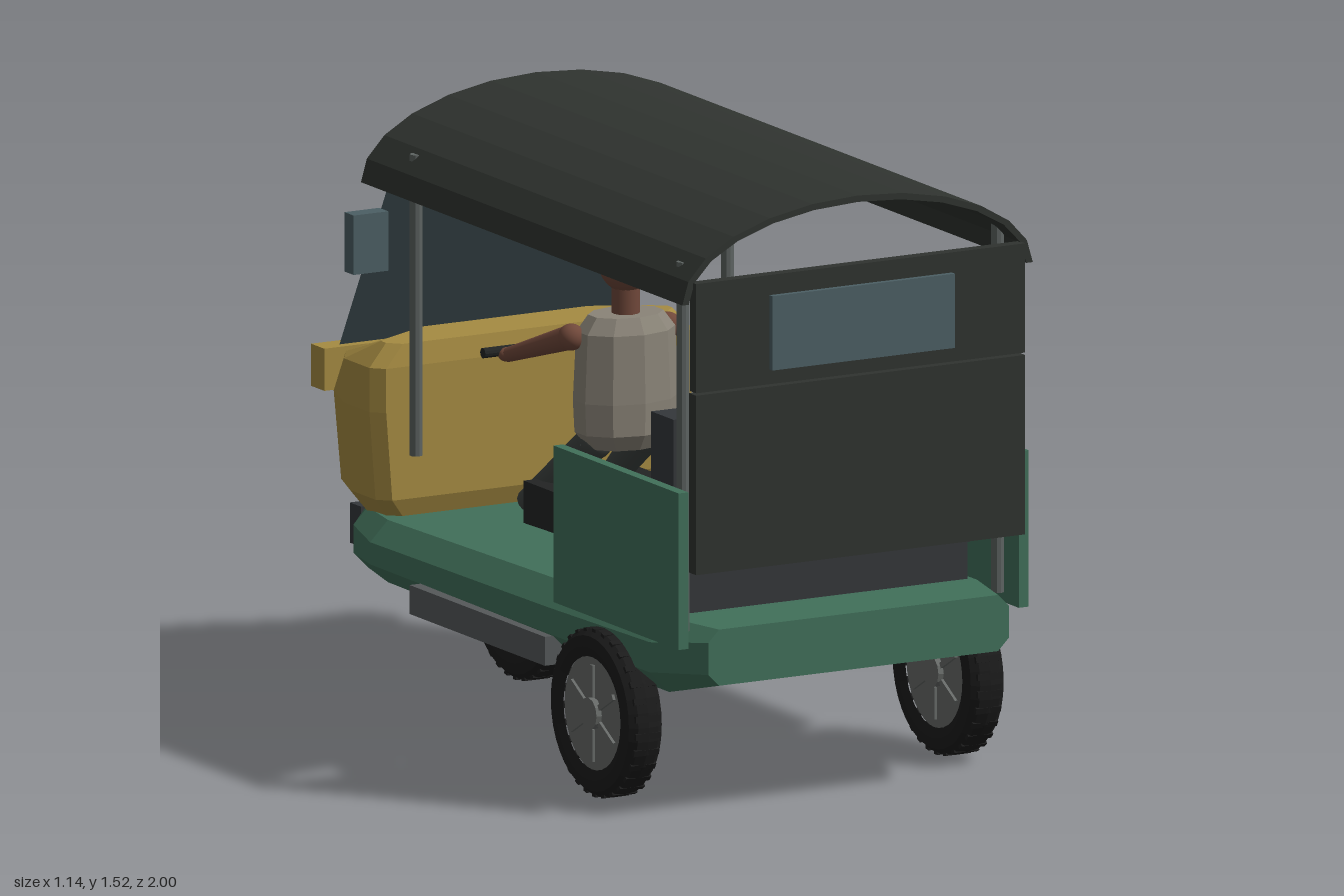
import * as THREE from 'three';

const mat = (color, flat = true, side = THREE.FrontSide) =>
  new THREE.MeshStandardMaterial({ color, flatShading: flat, side });
const M = {
  green: mat(0x41705a), yellow: mat(0xa58b42), canvas: mat(0x2f332f, true, THREE.DoubleSide),
  seat: mat(0x34373a), glass: mat(0x4c5f64, true, THREE.DoubleSide), steel: mat(0x5d6361),
  step: mat(0x55595a), tyre: mat(0x1b1b1b), rim: mat(0x676a68), lamp: mat(0x9a9580),
  shirt: mat(0x8a8478), trousers: mat(0x3d4240, false), skin: mat(0x70483a, false),
  hair: mat(0x151515, false), black: mat(0x222424),
};

function add(parent, name, geometry, material, x = 0, y = 0, z = 0) {
  const m = new THREE.Mesh(geometry, material);
  m.name = name;
  m.position.set(x, y, z);
  parent.add(m);
  return m;
}

// Box given by its min and max on each axis
function box(parent, name, material, [x0, x1], [y0, y1], [z0, z1]) {
  return add(parent, name, new THREE.BoxGeometry(x1 - x0, y1 - y0, z1 - z0), material,
    (x0 + x1) / 2, (y0 + y1) / 2, (z0 + z1) / 2);
}

// Tapered round bar between two points
function limb(parent, name, material, a, b, ra, rb, sides = 12) {
  const A = new THREE.Vector3(...a), B = new THREE.Vector3(...b), d = B.clone().sub(A);
  const m = add(parent, name, new THREE.CylinderGeometry(rb, ra, d.length(), sides), material);
  m.position.copy(A).addScaledVector(d, 0.5);
  m.quaternion.setFromUnitVectors(new THREE.Vector3(0, 1, 0), d.normalize());
  return m;
}

// Skin over equal-length rings, capped at both ends
function loft(rings) {
  const n = rings[0].length, index = [];
  rings.forEach((r, i) => {
    if (i === rings.length - 1) return;
    for (let j = 0; j < n; j++) {
      const k = (j + 1) % n, a = i * n + j, b = i * n + k;
      index.push(a, b, b + n, a, b + n, a + n);
    }
  });
  const last = (rings.length - 1) * n;
  for (let j = 1; j < n - 1; j++) {
    index.push(0, j + 1, j, last, last + j, last + j + 1);
  }
  const g = new THREE.BufferGeometry();
  g.setAttribute('position', new THREE.Float32BufferAttribute(rings.flat(2), 3));
  g.setIndex(index);
  g.computeVertexNormals();
  return g;
}

function wheel(parent, name, x, z) {
  const g = new THREE.Group();
  g.name = name;
  g.position.set(x, 0.213, z);
  parent.add(g);
  const profile = [[0.14, -0.04], [0.165, -0.05], [0.192, -0.046], [0.207, -0.028], [0.21, 0],
    [0.207, 0.028], [0.192, 0.046], [0.165, 0.05], [0.14, 0.04]].map(p => new THREE.Vector2(...p));
  add(g, 'tyre', new THREE.LatheGeometry(profile, 36), M.tyre).rotation.z = Math.PI / 2;
  for (let i = 0; i < 30; i++) {
    const a = i * Math.PI / 15;
    const t = add(g, 'tread', new THREE.BoxGeometry(0.07, 0.012, 0.016), M.tyre,
      0, 0.203 * Math.cos(a), 0.203 * Math.sin(a));
    t.rotation.x = a;
  }
  add(g, 'rim', new THREE.CylinderGeometry(0.143, 0.143, 0.07, 32), M.rim).rotation.z = Math.PI / 2;
  add(g, 'hub', new THREE.CylinderGeometry(0.04, 0.04, 0.1, 12), M.rim).rotation.z = Math.PI / 2;
  for (let i = 0; i < 6; i++) {
    const a = i * Math.PI / 3;
    const s = add(g, 'spoke', new THREE.BoxGeometry(0.085, 0.08, 0.014), M.rim,
      0, 0.08 * Math.cos(a), 0.08 * Math.sin(a));
    s.rotation.x = a;
  }
}

// Chamfered hull section at z
function hullRing([z, w, bottom, top, c]) {
  const half = [[w - c, bottom], [w, bottom + c], [w, top - c], [w - c, top]];
  return [...half.map(([x, y]) => [x, y, z]), ...half.reverse().map(([x, y]) => [-x, y, z])];
}

// Cowl plan outline at height y
function cowlRing([y, w, front, back]) {
  const half = [[w - 0.03, back], [w, back - 0.03], [w, Math.max(-0.76, front + 0.09)],
    [w * 0.9, front + 0.065], [w * 0.58, front]];
  return [...half.map(([x, z]) => [x, y, z]), ...half.reverse().map(([x, z]) => [-x, y, z])];
}

function driver(parent) {
  const g = new THREE.Group();
  g.name = 'driver';
  parent.add(g);
  const profile = [[0, 0.68], [0.07, 0.68], [0.095, 0.72], [0.098, 0.8], [0.092, 0.97], [0.07, 1.01], [0, 1.01]]
    .map(p => new THREE.Vector2(...p));
  const torso = add(g, 'torso', new THREE.LatheGeometry(profile, 10), M.shirt, 0, 0, -0.17);
  torso.scale.x = 1.4;
  limb(g, 'neck', M.skin, [0, 1, -0.17], [0, 1.09, -0.17], 0.035, 0.035);
  const ball = (name, m, r, pos, s) => {
    const b = add(g, name, new THREE.SphereGeometry(r, 20, 14), m, ...pos);
    b.scale.set(...s);
    return b;
  };
  ball('head', M.skin, 0.1, [0, 1.16, -0.17], [0.74, 1, 0.75]);
  ball('nose', M.skin, 0.016, [0, 1.145, -0.248], [0.9, 1, 1]);
  const hair = add(g, 'hair', new THREE.SphereGeometry(0.082, 20, 10, 0, Math.PI * 2, 0, Math.PI * 0.5),
    M.hair, 0, 1.195, -0.163);
  hair.rotation.x = 0.3;
  for (const s of [-1, 1]) {
    ball('ear', M.skin, 0.022, [s * 0.075, 1.15, -0.17], [0.4, 1, 0.7]);
    ball('eye', M.hair, 0.009, [s * 0.028, 1.175, -0.238], [1, 1, 0.6]);
    ball('shoulder', M.skin, 0.033, [s * 0.135, 0.957, -0.2], [1, 1, 1]);
    limb(g, 'arm', M.skin, [s * 0.135, 0.957, -0.2], [s * 0.17, 0.868, -0.45], 0.031, 0.018);
    ball('hand', M.skin, 0.022, [s * 0.17, 0.868, -0.455], [1, 0.8, 1]);
    ball('hip', M.trousers, 0.045, [s * 0.07, 0.69, -0.2], [1, 1, 1]);
    limb(g, 'leg', M.trousers, [s * 0.07, 0.69, -0.2], [s * 0.1, 0.49, -0.475], 0.045, 0.03);
  }
}

export function createModel() {
  const car = new THREE.Group();
  car.name = 'threeWheeler';

  // Floor hull, nose towards -z
  add(car, 'hull', loft([[-0.91, 0.31, 0.32, 0.43, 0.02], [-0.77, 0.42, 0.3, 0.45, 0.04],
    [-0.6, 0.47, 0.3, 0.455, 0.05], [0.3, 0.485, 0.3, 0.475, 0.055],
    [0.8, 0.485, 0.3, 0.485, 0.055], [0.975, 0.42, 0.345, 0.485, 0.03]].map(hullRing)), M.green);

  // Cowl, trim bar, headlight and bumper
  add(car, 'cowl', loft([[0.435, 0.38, -0.87, -0.63], [0.5, 0.435, -0.945, -0.605],
    [0.72, 0.452, -0.955, -0.605], [0.83, 0.452, -0.895, -0.605], [0.885, 0.4, -0.76, -0.615]]
    .map(cowlRing)), M.yellow);
  box(car, 'cowlBar', M.yellow, [-0.43, 0.43], [0.72, 0.825], [-0.96, -0.895]);
  add(car, 'headlight', new THREE.CylinderGeometry(0.103, 0.103, 0.06, 24), M.lamp, 0, 0.653, -0.97)
    .rotation.x = Math.PI / 2;
  box(car, 'bumper', M.seat, [-0.305, 0.305], [0.31, 0.41], [-0.99, -0.935]);

  // Sloping windscreen
  const screen = new THREE.PlaneGeometry(1, 1);
  screen.getAttribute('position').array.set([-0.415, 1.3, -0.6, 0.415, 1.3, -0.6,
    -0.385, 0.83, -0.9, 0.385, 0.83, -0.9]);
  screen.computeVertexNormals();
  add(car, 'windscreen', screen, M.glass);

  // Curved canopy
  const arc = (rx, ry) => Array.from({ length: 13 }, (_, i) =>
    new THREE.Vector2(rx * Math.cos(i * Math.PI / 12), ry * Math.sin(i * Math.PI / 12)));
  const roof = new THREE.Shape([...arc(0.49, 0.22), ...arc(0.472, 0.204).reverse()]);
  add(car, 'canopy', new THREE.ExtrudeGeometry(roof, { depth: 1.58, bevelEnabled: false }),
    M.canvas, 0, 1.302, -0.61);

  // Rear curtain and window
  box(car, 'rearCurtain', M.canvas, [-0.46, 0.46], [0.63, 1.077], [0.95, 0.985]);
  box(car, 'rearUpperPanel', M.canvas, [-0.46, 0.46], [1.083, 1.355], [0.955, 0.985]);
  box(car, 'rearWindow', M.glass, [-0.255, 0.255], [1.12, 1.305], [0.97, 1]);

  // Seats
  box(car, 'benchSeat', M.seat, [-0.415, 0.415], [0.45, 0.6], [0.21, 0.78]);
  box(car, 'benchBack', M.seat, [-0.415, 0.415], [0.58, 0.975], [0.685, 0.795]);
  box(car, 'driverSeat', M.black, [-0.16, 0.16], [0.46, 0.565], [-0.39, -0.07]);
  limb(car, 'handlebar', M.black, [-0.23, 0.875, -0.468], [0.23, 0.875, -0.468], 0.013, 0.013);

  // Mirrored side parts
  for (const s of [-1, 1]) {
    const span = (a, b) => (s > 0 ? [a, b] : [-b, -a]);
    box(car, 'sidePanel', M.green, span(0.462, 0.489), [0.44, 0.83], [0.335, 0.95]);
    box(car, 'stepBoard', M.step, span(0.38, 0.505), [0.28, 0.352], [-0.345, 0.32]);
    box(car, 'mirror', M.glass, span(0.473, 0.57), [1.1, 1.248], [-0.55, -0.505]);
    limb(car, 'frontPost', M.steel, [s * 0.435, 0.65, -0.435], [s * 0.435, 1.4, -0.435], 0.016, 0.016, 10);
    limb(car, 'rearPost', M.steel, [s * 0.44, 0.47, 0.885], [s * 0.44, 1.39, 0.885], 0.016, 0.016, 10);
    wheel(car, 'rearWheel', s * 0.478, 0.575);
  }
  wheel(car, 'frontWheel', 0, -0.655);
  driver(car);
  return car;
}
